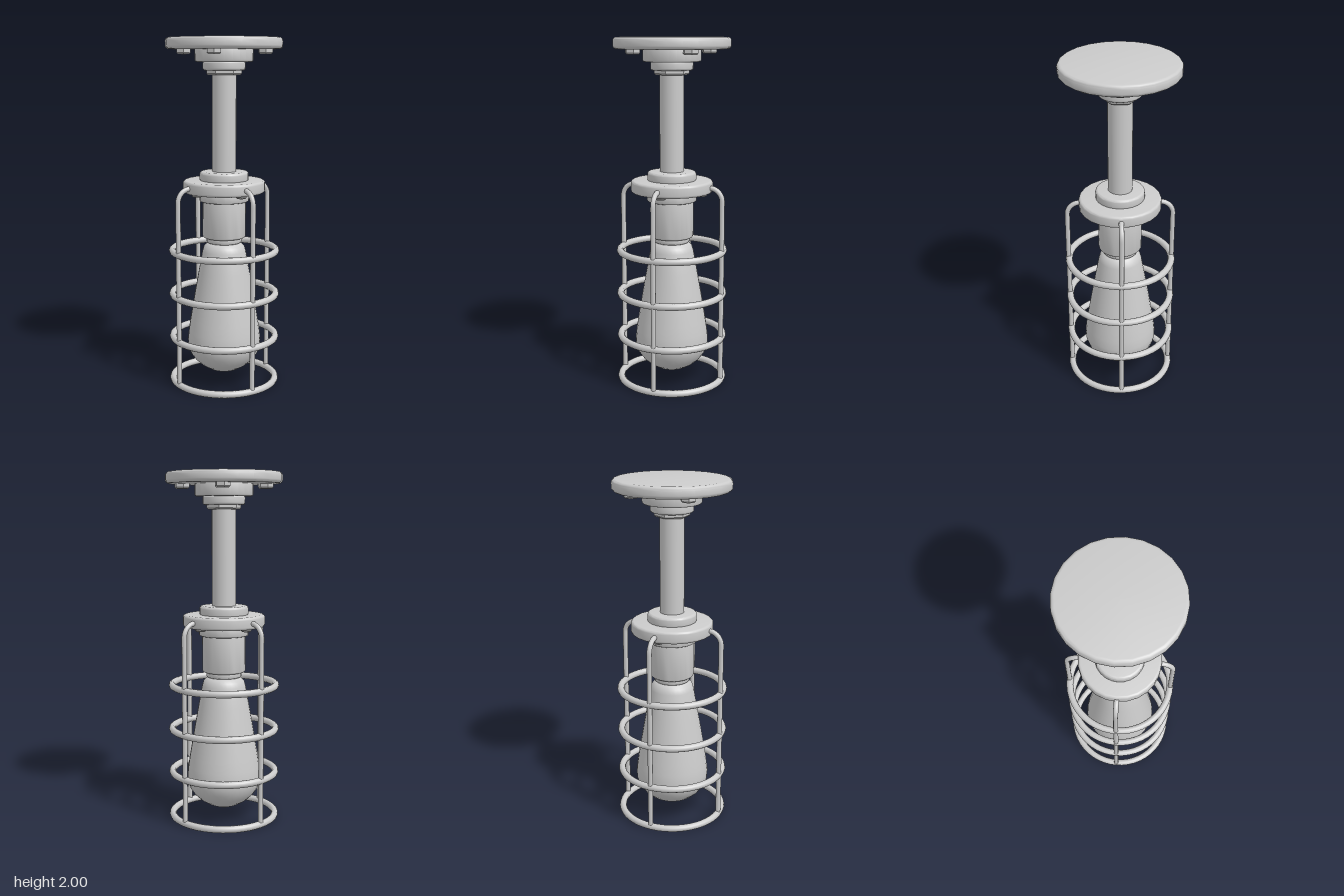
import * as THREE from 'three';
import { toCreasedNormals } from 'three/addons/utils/BufferGeometryUtils.js';

const material = new THREE.MeshStandardMaterial({ color: 0xcccccc, side: THREE.DoubleSide });

function add(parent, name, geometry) {
  const mesh = new THREE.Mesh(geometry, material);
  mesh.name = name;
  parent.add(mesh);
  return mesh;
}

// Solid turned disc from y0 to y1 with rounded rims
function disc(radius, y0, y1, round, sides = 24) {
  const pts = [new THREE.Vector2(0, y0)];
  const steps = 4;
  for (let i = 0; i <= steps; i++) {
    const a = (i / steps) * Math.PI / 2;
    pts.push(new THREE.Vector2(radius - round + round * Math.sin(a), y0 + round - round * Math.cos(a)));
  }
  for (let i = 0; i <= steps; i++) {
    const a = (i / steps) * Math.PI / 2;
    pts.push(new THREE.Vector2(radius - round + round * Math.cos(a), y1 - round + round * Math.sin(a)));
  }
  pts.push(new THREE.Vector2(0, y1));
  return toCreasedNormals(new THREE.LatheGeometry(pts, sides), 0.6);
}

// Hexagonal prism with a small chamfer on its lower edge
function hexNut(radius, y0, y1) {
  const c = Math.min(0.008, (y1 - y0) * 0.3);
  const pts = [[0, y0], [radius - c, y0], [radius, y0 + c], [radius, y1], [0, y1]]
    .map(([r, y]) => new THREE.Vector2(r, y));
  return toCreasedNormals(new THREE.LatheGeometry(pts, 6), 0.3);
}

// Four bolts on a circle
function boltCircle(parent, name, boltRadius, circle, y0, y1, startAngle) {
  const geometry = hexNut(boltRadius, y0, y1);
  for (let i = 0; i < 4; i++) {
    const a = startAngle + i * Math.PI / 2;
    const bolt = add(parent, name, geometry);
    bolt.position.set(circle * Math.cos(a), 0, circle * Math.sin(a));
    bolt.rotation.y = Math.PI / 2;
  }
}

export function createModel() {
  const model = new THREE.Group();
  model.name = 'cagedPendantLamp';

  // Ceiling mount
  const mount = new THREE.Group();
  mount.name = 'ceilingMount';
  model.add(mount);
  add(mount, 'ceilingPlate', disc(0.33, 1.935, 2, 0.02));
  add(mount, 'plateCollar', disc(0.165, 1.865, 1.945, 0.012));
  add(mount, 'collarStep', disc(0.12, 1.818, 1.87, 0.012));
  add(mount, 'lockNut', hexNut(0.1, 1.793, 1.825));
  boltCircle(mount, 'plateBolt', 0.044, 0.235, 1.907, 1.94, Math.PI / 4);

  // Stem
  const stem = add(model, 'stem', new THREE.CylinderGeometry(0.069, 0.069, 0.6, 24));
  stem.position.y = 1.52;

  // Cage flange and bulb socket
  const holder = new THREE.Group();
  holder.name = 'lampHolder';
  model.add(holder);
  add(holder, 'flangeCap', disc(0.14, 1.19, 1.25, 0.015));
  add(holder, 'cageFlange', disc(0.235, 1.13, 1.2, 0.015));
  add(holder, 'socketCollar', disc(0.143, 1.078, 1.14, 0.008));
  add(holder, 'socket', disc(0.125, 0.866, 1.09, 0.012));
  add(holder, 'socketRim', disc(0.102, 0.835, 0.875, 0.01));
  boltCircle(holder, 'flangeBolt', 0.033, 0.18, 1.115, 1.14, 0);

  // Teardrop bulb: rounded lower bowl, straight taper, rounded shoulder
  const bulbProfile = [
    [0, 0.046], [0.045, 0.06], [0.09, 0.078], [0.135, 0.105], [0.172, 0.138], [0.198, 0.175],
    [0.212, 0.215], [0.214, 0.255], [0.208, 0.31], [0.199, 0.37], [0.172, 0.53], [0.147, 0.67],
    [0.126, 0.785], [0.118, 0.812], [0.102, 0.828], [0.085, 0.838], [0, 0.84],
  ].map(([r, y]) => new THREE.Vector2(r, y));
  add(model, 'bulb', toCreasedNormals(new THREE.LatheGeometry(bulbProfile, 32), 0.6));

  // Cage hoops
  const cage = new THREE.Group();
  cage.name = 'cage';
  model.add(cage);
  const hoop = new THREE.TorusGeometry(0.3, 0.02, 10, 48);
  for (let i = 0; i < 4; i++) {
    const ring = add(cage, 'cageHoop', hoop);
    ring.rotation.x = Math.PI / 2;
    ring.position.y = 0.02 + i * 0.257;
  }

  // Cage bars: out of the flange, around a bend, straight down to the lowest hoop
  const path = new THREE.CurvePath();
  const v = (x, y) => new THREE.Vector3(x, y, 0);
  const k = 0.075 * 0.552;
  path.add(new THREE.LineCurve3(v(0.19, 1.165), v(0.227, 1.165)));
  path.add(new THREE.CubicBezierCurve3(v(0.227, 1.165), v(0.227 + k, 1.165), v(0.302, 1.09 + k), v(0.302, 1.09)));
  path.add(new THREE.LineCurve3(v(0.302, 1.09), v(0.302, 0.02)));
  const barGeometry = new THREE.TubeGeometry(path, 90, 0.0145, 10, false);
  for (let i = 0; i < 4; i++) {
    add(cage, 'cageBar', barGeometry).rotation.y = i * Math.PI / 2;
  }

  return model;
}
